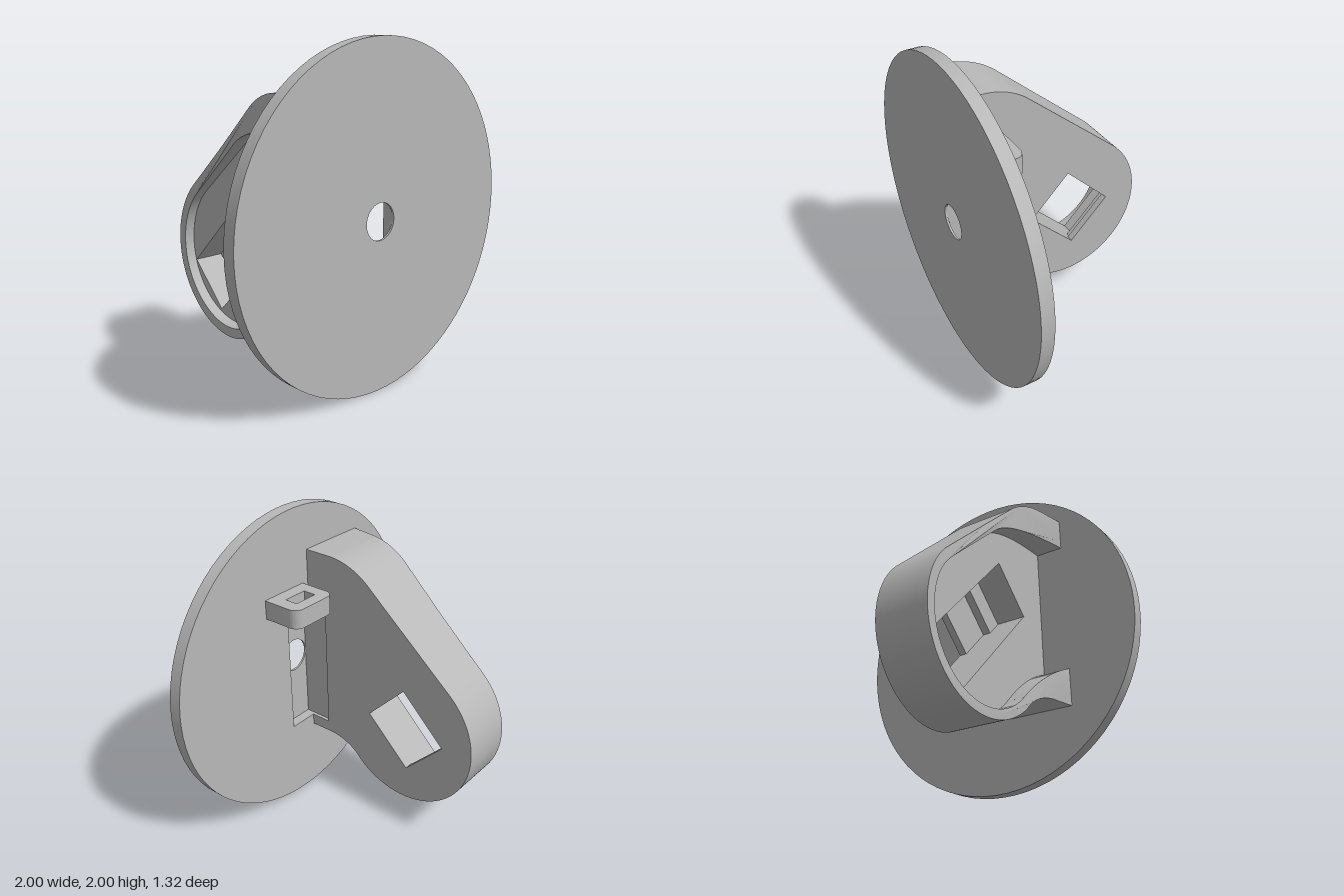
import * as THREE from 'three';
import { toCreasedNormals } from 'three/addons/utils/BufferGeometryUtils.js';

const BACK = 0.585, FRONT = 0.665;   // disc thickness along z
const TILT = 2.283;                  // angle of the arm's straight upper edge
const CZ = -0.16, CY = 0.71;         // centre of the arm's round end

const polygon = (pts, Type = THREE.Shape) => new Type(pts.map(([a, b]) => new THREE.Vector2(a, b)));
const rect = (x0, x1, y0, y1, Type) => polygon([[x0, y0], [x1, y0], [x1, y1], [x0, y1]], Type);

// Rectangle turned by 45 degrees, given by its ranges of y + z and y - z
function diamond(p0, p1, q0, q1) {
  const at = (p, q) => [(p - q) / 2, (p + q) / 2];
  return polygon([at(p0, q0), at(p1, q0), at(p1, q1), at(p0, q1)], THREE.Path);
}

// Outer outline of the arm in (z, y), from the disc around and back to the disc
function armOutline() {
  const s = new THREE.Shape();
  s.moveTo(BACK, 1.715);
  s.lineTo(0.41, 1.715);
  s.absarc(0.41, 1.257, 0.458, Math.PI / 2, TILT, false);
  s.absarc(CZ, CY, 0.5, TILT, Math.PI * 1.75, false);
  s.absarc(0.43, 0.12, 0.336, Math.PI * 0.75, Math.PI / 2, true);
  s.lineTo(BACK, 0.456);
  return s;
}

// Split long edges so that they can be bent
function subdivide(shape, step) {
  const pts = shape.getPoints(40), out = [];
  pts.forEach((p, i) => {
    const q = pts[(i + 1) % pts.length];
    const n = Math.ceil(p.distanceTo(q) / step);
    for (let k = 0; k < n; k++) out.push(p.clone().lerp(q, k / n));
  });
  return new THREE.Shape(out);
}

function extrude(shape, depth) {
  return new THREE.ExtrudeGeometry(shape, { depth, bevelEnabled: false, curveSegments: 40 });
}

// Layer with a (z, y) outline, reaching from x1 down to x0
function sideLayer(shape, x1, x0) {
  return extrude(shape, x1 - x0).rotateY(-Math.PI / 2).translate(x1, 0, 0);
}

export function createModel() {
  const group = new THREE.Group();
  const grey = new THREE.MeshStandardMaterial({ color: 0xb8b8b8 });
  grey.name = 'grey';
  const add = (name, geometry) => {
    const mesh = new THREE.Mesh(toCreasedNormals(geometry, 0.4), grey);
    mesh.name = name;
    group.add(mesh);
  };

  // Disc: thin front skin with a round hole, thicker back with a slot
  const disc = (hole) => {
    const s = new THREE.Shape().absarc(0, 1, 1, 0, Math.PI * 2, false);
    s.holes.push(hole);
    return s;
  };
  const skin = 0.652;
  const roundHole = new THREE.Path().absarc(0, 1, 0.107, 0, Math.PI * 2, true);
  add('discFront', extrude(disc(roundHole), FRONT - skin).translate(0, 0, skin));
  const slot = rect(-0.107, 0.107, 0.53, 1.385, THREE.Path);
  add('discBack', extrude(disc(slot), skin - BACK).translate(0, 0, BACK));

  // Arm web: layers with stepped openings; the first is notched beside the slot
  const squareHole = () => diamond(0.245, 0.83, 0.63, 1.15);
  const notched = armOutline();
  [[BACK, 0.53], [0.45, 0.53], [0.45, 1.385], [BACK, 1.385]].forEach(([z, y]) => notched.lineTo(z, y));
  const layers = [
    ['armNotchedFace', notched, squareHole(), -0.085, -0.107],
    ['armFace', armOutline(), squareHole(), -0.107, -0.13],
    ['armBodyPocket', armOutline(), diamond(0.2, 1.2, 0.63, 1.15), -0.13, -0.18],
    ['armWidePocket', armOutline(), diamond(0, 1.38, 0.63, 1.15), -0.18, -0.37],
  ];
  for (const [name, shape, hole, x1, x0] of layers) {
    shape.holes.push(hole);
    add(name, sideLayer(shape, x1, x0));
  }

  // Rim around the open side, growing wider towards the disc
  const ring = armOutline();
  ring.lineTo(BACK, 0.69);
  ring.quadraticCurveTo(0.36, 0.608, 0.151, 0.399);
  ring.absarc(CZ, CY, 0.44, Math.PI * 1.75, TILT, true);
  ring.lineTo(-0.05, 1.385);
  ring.quadraticCurveTo(0.11, 1.523, BACK, 1.52);
  const rim = sideLayer(subdivide(ring, 0.05), -0.37, -0.43);
  const pos = rim.attributes.position;
  for (let i = 0; i < pos.count; i++) {
    if (pos.getX(i) > -0.4) continue;
    const t = (pos.getZ(i) + 0.665) / 1.25;
    pos.setX(i, -0.433 - 0.112 * t * t);
  }
  rim.computeVertexNormals();
  add('armRim', rim);

  // Small loop on the back of the disc, drawn in (x, -z) and extruded upwards
  const x0 = -0.04, x1 = 0.285, tip = -0.335, r = 0.06;
  const loop = new THREE.Shape();
  loop.moveTo(x0, -BACK);
  loop.lineTo(x1, -BACK);
  loop.absarc(x1 - r, tip - r, r, 0, Math.PI / 2, false);
  loop.absarc(x0 + r, tip - r, r, Math.PI / 2, Math.PI, false);
  loop.holes.push(rect(0.04, 0.2, -0.5, -0.415, THREE.Path));
  add('cableLoop', extrude(loop, 0.12).rotateX(-Math.PI / 2).translate(0, 1.39, 0));

  return group;
}
